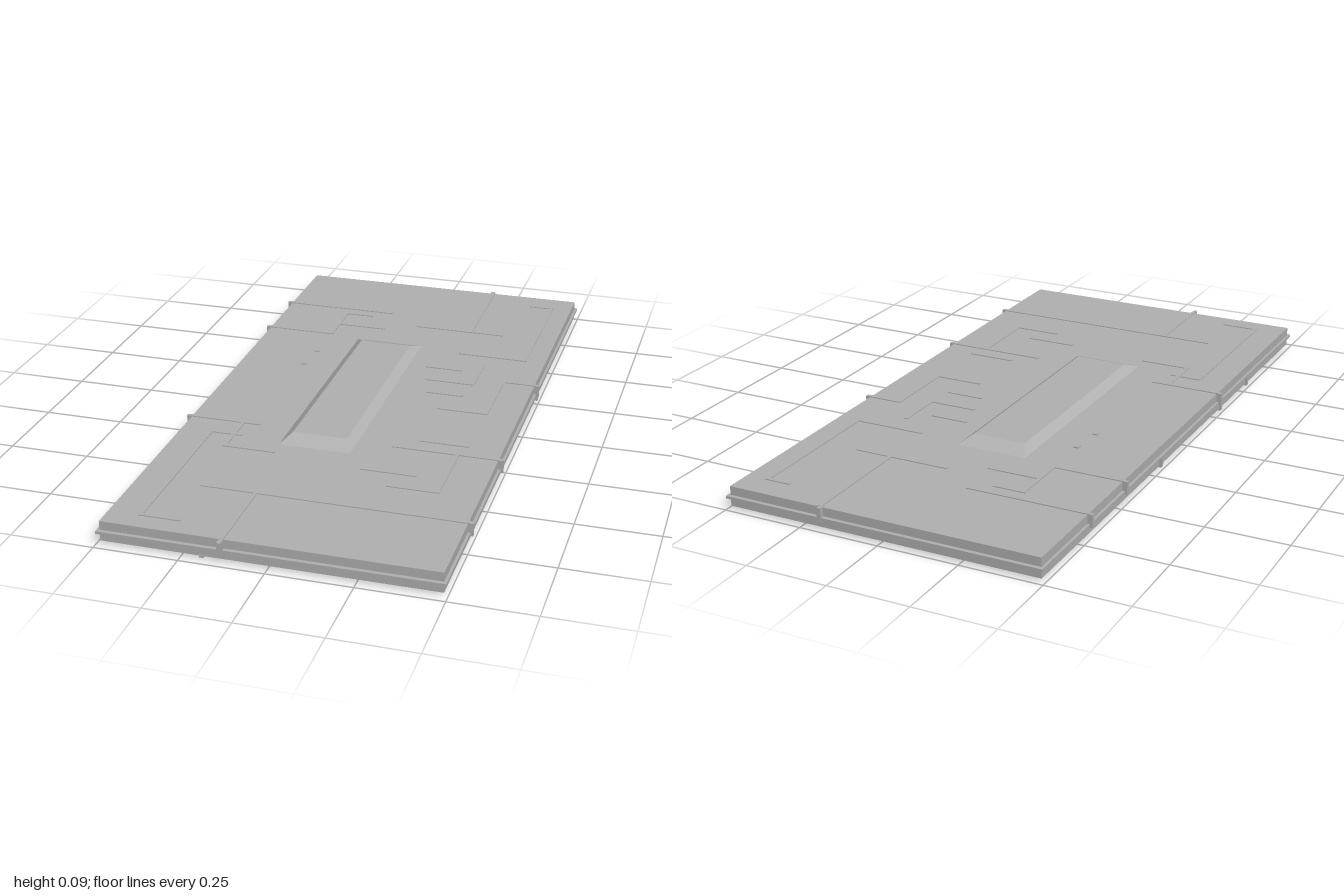
import * as THREE from 'three';

const hull = new THREE.MeshStandardMaterial({ color: 0xb1b1b1 });
hull.name = 'hull grey';

const Z0 = -0.006; // slab centre along z
const TOP = 0.071, BOTTOM = 0.01, W = 0.012;

function box(parent, name, x0, x1, y0, y1, z0, z1) {
  const mesh = new THREE.Mesh(new THREE.BoxGeometry(x1 - x0, y1 - y0, z1 - z0), hull);
  mesh.position.set((x0 + x1) / 2, (y0 + y1) / 2, (z0 + z1) / 2);
  mesh.name = name;
  parent.add(mesh);
}

// Square conduit following axis-aligned points [x, z]
function conduit(parent, name, y0, y1, points) {
  const h = W / 2;
  for (let i = 0; i + 1 < points.length; i++) {
    const [ax, az] = points[i], [bx, bz] = points[i + 1];
    box(parent, name, Math.min(ax, bx) - h, Math.max(ax, bx) + h, y0, y1,
      Math.min(az, bz) - h, Math.max(az, bz) + h);
  }
}

// Raised block with sloping sides
function raisedBlock() {
  const geo = new THREE.BoxGeometry(1, 1, 1).toNonIndexed();
  const p = geo.attributes.position;
  for (let i = 0; i < p.count; i++) {
    const up = p.getY(i) > 0;
    const [l, r, b, f] = up ? [-0.139, 0.03, -0.392, 0.338] : [-0.172, 0.062, -0.457, 0.402];
    p.setXYZ(i, p.getX(i) < 0 ? l : r, up ? 0.091 : TOP - 0.004, p.getZ(i) < 0 ? b : f);
  }
  geo.computeVertexNormals();
  const mesh = new THREE.Mesh(geo, hull);
  mesh.name = 'raisedBlock';
  return mesh;
}

export function createModel() {
  const model = new THREE.Group();
  model.name = 'panelledSlab';

  // Main slab and the thin flange round its middle
  box(model, 'slab', -0.489, 0.489, BOTTOM, TOP, Z0 - 0.98, Z0 + 0.98);
  box(model, 'flange', -0.497, 0.497, 0.036, 0.044, Z0 - 0.992, Z0 + 0.992);
  model.add(raisedBlock());

  // Conduits on the upper face
  const upper = new THREE.Group();
  upper.name = 'upperConduits';
  model.add(upper);
  const upperRuns = [
    [[-0.488, -0.7], [-0.12, -0.7]],
    [[-0.488, -0.465], [-0.27, -0.465], [-0.27, -0.655], [-0.18, -0.655]],
    [[-0.27, -0.555], [-0.11, -0.555]],
    [[0.19, -0.98], [0.19, -0.61]],
    [[0.005, -0.61], [0.3, -0.61]],
    [[0.2, -0.42], [0.42, -0.42], [0.42, -0.9], [0.35, -0.9]],
    [[0.17, -0.093], [0.28, -0.093]],
    [[0.145, -0.187], [0.295, -0.187], [0.295, -0.34]],
    [[0.12, -0.285], [0.23, -0.285]],
    [[0.235, 0.015], [0.385, 0.015], [0.385, -0.235], [0.488, -0.235]],
    [[0.17, 0.31], [0.488, 0.31]],
    [[0.365, 0.31], [0.365, 0.555], [0.22, 0.555]],
    [[0.24, 0.25], [0.38, 0.25]],
    [[0.12, 0.475], [0.275, 0.475]],
    [[-0.06, 0.7], [0.488, 0.7]],
    [[-0.13, 0.97], [-0.13, 0.7]],
    [[-0.29, 0.7], [-0.06, 0.7]],
    [[-0.28, 0.908], [-0.393, 0.908], [-0.393, 0.365], [-0.3, 0.365]],
    [[-0.488, 0.28], [-0.27, 0.28]],
    [[-0.32, 0.28], [-0.32, 0.445], [-0.167, 0.445]],
  ];
  for (const run of upperRuns) conduit(upper, 'upperConduit', TOP - 0.003, TOP + 0.003, run);
  for (const [x, z] of [[-0.28, -0.194], [-0.27, -0.307]])
    box(upper, 'stud', x - 0.008, x + 0.008, TOP - 0.003, TOP + 0.004, z - 0.008, z + 0.008);

  // Conduits on the lower face
  const lower = new THREE.Group();
  lower.name = 'lowerConduits';
  model.add(lower);
  const lowerRuns = [
    [[0.405, -0.63], [0.22, -0.63], [0.22, -0.91]],
    [[0.488, -0.27], [0.3, -0.27]],
    [[0.38, -0.49], [0.33, -0.49], [0.33, -0.22]],
    [[0.264, -0.3], [0.035, -0.3]],
    [[0.175, 0.042], [0.175, -0.23], [-0.015, -0.23]],
    [[0.175, -0.08], [0.07, -0.08]],
    [[-0.125, -0.7], [-0.343, -0.7], [-0.343, -0.6], [-0.43, -0.6]],
    [[-0.2, -0.435], [-0.4, -0.435], [-0.4, -0.6]],
    [[-0.488, -0.19], [-0.26, -0.19]],
    [[-0.137, 0.01], [-0.21, 0.01]],
    [[-0.488, 0.305], [-0.23, 0.305]],
    [[0.39, 0.325], [0.17, 0.325]],
    [[0.39, 0.355], [0.17, 0.355]],
    [[0.45, 0.68], [0.19, 0.68]],
    [[0.41, 0.68], [0.41, 0.4]],
    [[-0.19, 0.97], [-0.19, 0.73], [-0.24, 0.73]],
    [[-0.19, 0.86], [-0.386, 0.86], [-0.386, 0.67]],
    [[-0.216, 0.63], [-0.345, 0.63]],
    [[-0.287, 0.55], [-0.488, 0.55]],
    [[-0.36, 0.55], [-0.36, 0.48]],
  ];
  for (const run of lowerRuns) conduit(lower, 'lowerConduit', BOTTOM - 0.005, BOTTOM + 0.003, run);
  box(lower, 'lowerStud', -0.165, -0.11, 0, BOTTOM + 0.002, 0.445, 0.475);

  // Conduit ends that run down over the rim
  const h = W / 2;
  for (const [side, z] of [[-1, -0.7], [-1, -0.465], [-1, 0.28], [1, -0.235], [1, 0.31], [1, 0.7]])
    box(model, 'sideClip', side * 0.494 - 0.01, side * 0.494 + 0.01, 0.034, TOP + 0.002, z - h, z + h);
  box(model, 'backClip', 0.185 - h, 0.185 + h, 0.034, TOP + 0.002, -1, -0.98);
  box(model, 'frontClip', -0.13 - h, -0.13 + h, 0.034, TOP + 0.002, 0.965, 1);
  for (const [side, z] of [[1, -0.27], [-1, -0.19], [-1, 0.305], [-1, 0.55]])
    box(model, 'lowerClip', side * 0.489 - 0.007, side * 0.489 + 0.007, BOTTOM - 0.003, 0.04, z - h, z + h);
  return model;
}
